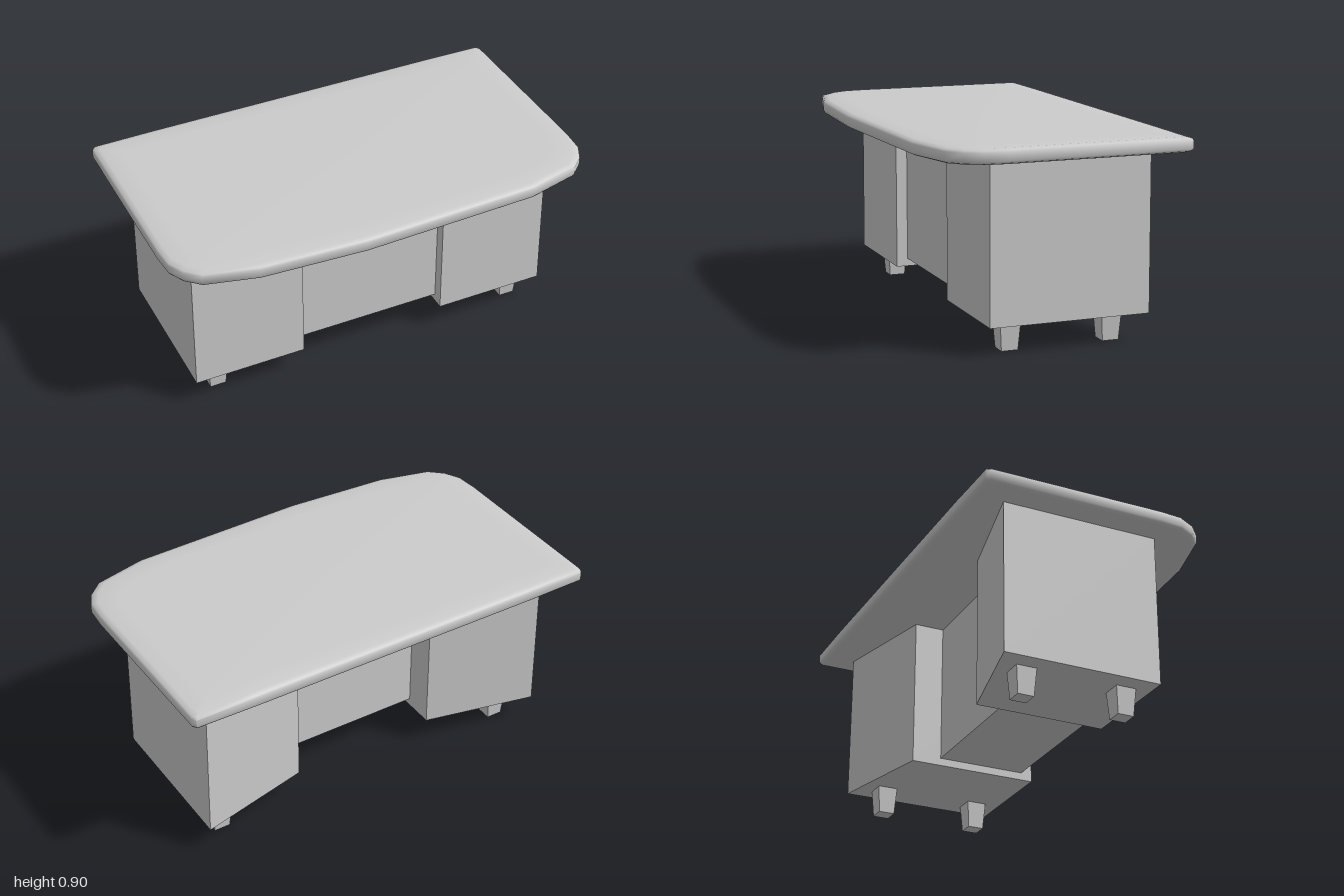
import * as THREE from 'three';
import { toCreasedNormals } from 'three/addons/utils/BufferGeometryUtils.js';

const grey = new THREE.MeshStandardMaterial({ color: 0xcccccc, side: THREE.DoubleSide });

// Desk outline in (x, z), from the back left corner round the bowed front
const OUTLINE = [
  [0.7, -0.584], [0.985, -0.58], [0.998, -0.56], [1, 0.26], [0.992, 0.365], [0.955, 0.438], [0.893, 0.496],
  [0.655, 0.556], [0.25, 0.57], [-0.17, 0.584], [-0.655, 0.556], [-0.893, 0.496], [-0.955, 0.438],
  [-0.992, 0.365], [-1, 0.26], [-0.998, -0.56], [-0.985, -0.58], [-0.7, -0.584],
];
// Rounded edge as (inset, height), bottom to top
const EDGE = [
  [0.09, 0.832], [0.022, 0.835], [0.005, 0.842], [0, 0.851],
  [0, 0.886], [0.006, 0.895], [0.028, 0.901], [0.11, 0.904],
];

function deskTopGeometry() {
  const n = OUTLINE.length, pos = [], index = [];
  for (const [inset, y] of EDGE) {
    for (const [x, z] of OUTLINE) pos.push(x * (1 - inset), y, z * (1 - inset / 0.58));
  }
  const bottom = n * EDGE.length, top = bottom + 1, last = n * (EDGE.length - 1);
  pos.push(0, EDGE[0][1], 0, 0, EDGE[EDGE.length - 1][1], 0);
  for (let j = 0; j < n; j++) {
    const k = (j + 1) % n;
    for (let i = 0; i < EDGE.length - 1; i++) {
      const a = i * n + j, b = i * n + k, c = a + n, d = b + n;
      index.push(a, c, b, b, c, d);
    }
    index.push(bottom, j, k, top, last + k, last + j);
  }
  const g = new THREE.BufferGeometry();
  g.setAttribute('position', new THREE.Float32BufferAttribute(pos, 3));
  g.setIndex(index);
  return toCreasedNormals(g, 1.0);
}

// Box between two corners, with an optional rule that moves its vertices
function block(x0, x1, y0, y1, z0, z1, rule) {
  const g = new THREE.BoxGeometry(x1 - x0, y1 - y0, z1 - z0);
  g.translate((x0 + x1) / 2, (y0 + y1) / 2, (z0 + z1) / 2);
  if (rule) {
    const p = g.attributes.position, v = new THREE.Vector3();
    for (let i = 0; i < p.count; i++) {
      rule(v.fromBufferAttribute(p, i));
      p.setXYZ(i, v.x, v.y, v.z);
    }
    g.computeVertexNormals();
  }
  return g;
}

export function createModel() {
  const desk = new THREE.Group();
  desk.name = 'desk';
  const add = (name, geometry) => {
    const mesh = new THREE.Mesh(geometry, grey);
    mesh.name = name;
    desk.add(mesh);
  };

  add('deskTop', deskTopGeometry());
  add('centrePanel', block(-0.35, 0.35, 0.162, 0.834, -0.18, 0.24));

  for (const [side, s] of [['left', 1], ['right', -1]]) {
    // Pedestal: outer wall leans in slightly, back wall slants forward towards the middle
    const xs = [0.35 * s, 0.876 * s].sort((a, b) => a - b);
    add(side + 'Pedestal', block(...xs, 0.126, 0.834, -0.44, 0.293, (v) => {
      const outer = Math.abs(v.x) > 0.5;
      if (outer && v.y > 0.5) v.x = 0.869 * s;
      if (!outer && v.z < 0) v.z = -0.32;
    }));

    // Tapered square feet
    const x = s > 0 ? 0.76 : -0.744;
    for (const [end, z] of [['Front', 0.174], ['Back', -0.295]]) {
      add(side + end + 'Foot', block(x - 0.047, x + 0.047, 0, 0.128, z - 0.047, z + 0.047, (v) => {
        if (v.y < 0.05) {
          v.x = x + (v.x - x) * 0.8;
          v.z = z + (v.z - z) * 0.8;
        }
      }));
    }
  }
  return desk;
}
